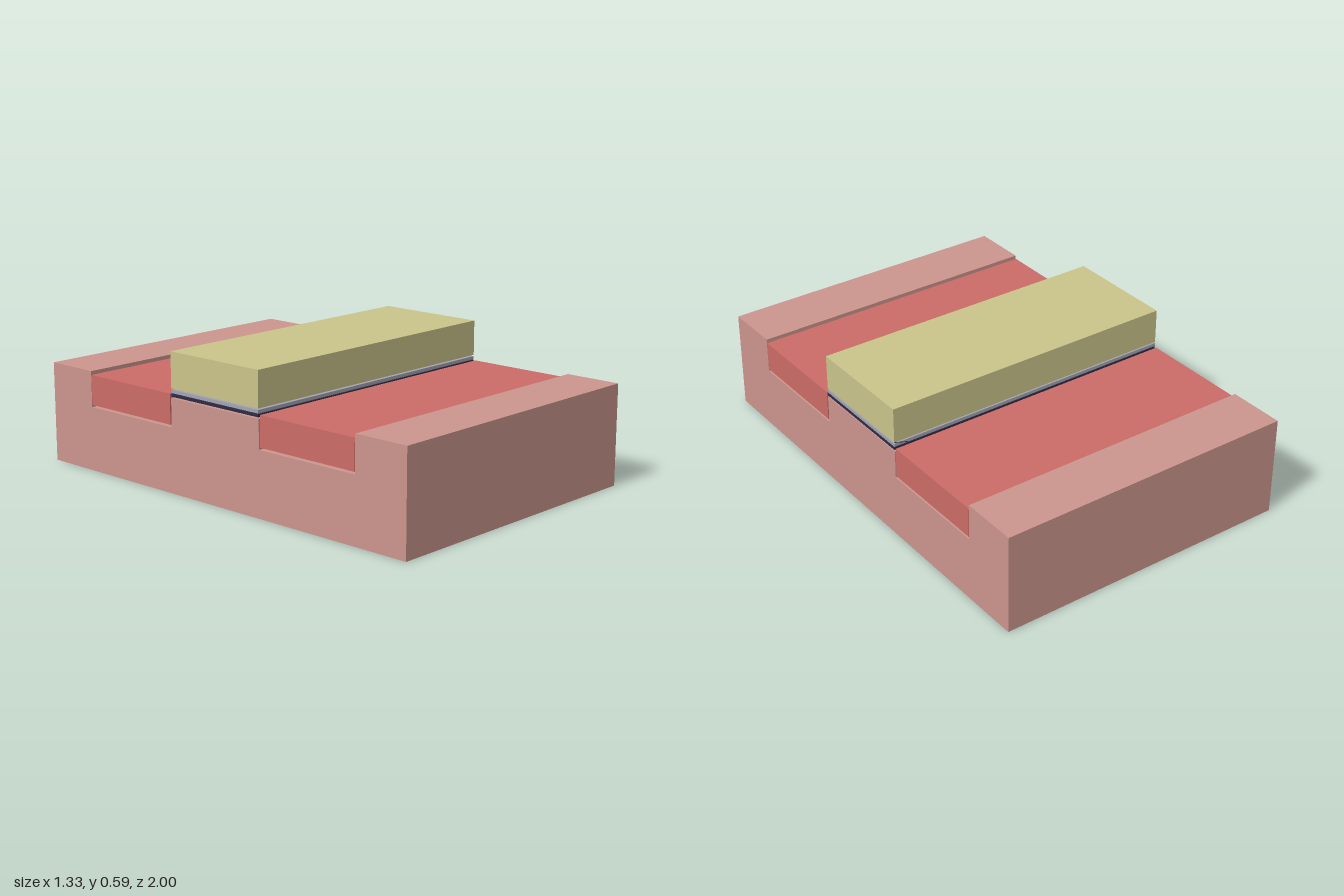
import * as THREE from 'three';

const WIDTH = 1.325;

const paint = (name, color) => {
  const m = new THREE.MeshStandardMaterial({ color });
  m.name = name;
  return m;
};

export function createModel() {
  const pink = paint('dusty pink', 0xcb958d);
  const red = paint('soft red', 0xcb6c67);
  const khaki = paint('khaki', 0xcac48a);
  const grey = paint('pale slate', 0xa3a4b0);
  const navy = paint('dark navy', 0x2e2b45);

  const model = new THREE.Group();
  model.name = 'layeredBlock';

  const add = (name, geometry, material) => {
    const mesh = new THREE.Mesh(geometry, material);
    mesh.name = name;
    model.add(mesh);
    return mesh;
  };

  // A bar running the full width, given by its extents in y and z
  const bar = (name, y0, y1, z0, z1, material) => {
    const mesh = add(name, new THREE.BoxGeometry(WIDTH, y1 - y0, z1 - z0), material);
    mesh.position.set(0, (y0 + y1) / 2, (z0 + z1) / 2);
  };

  // Base with two channels either side of a raised middle
  const half = [[0.25, 0.402], [0.25, 0.279], [0.75, 0.279], [0.75, 0.435], [1, 0.435], [1, 0]];
  const mirrored = half.map(([z, y]) => [-z, y]).reverse();
  const outline = new THREE.Shape([...mirrored, ...half].map(([z, y]) => new THREE.Vector2(z, y)));
  const baseGeometry = new THREE.ExtrudeGeometry(outline, { depth: WIDTH, bevelEnabled: false });
  baseGeometry.translate(0, 0, -WIDTH / 2);
  baseGeometry.rotateY(-Math.PI / 2);
  add('base', baseGeometry, pink);

  // Inlays sitting loosely in the channels
  bar('frontInlay', 0.289, 0.419, 0.257, 0.748, red);
  bar('backInlay', 0.289, 0.419, -0.748, -0.257, red);

  // Thin layers and the top block over the raised middle
  bar('darkLayer', 0.408, 0.42, -0.248, 0.248, navy);
  bar('paleLayer', 0.423, 0.437, -0.248, 0.248, grey);
  bar('topBlock', 0.443, 0.595, -0.248, 0.248, khaki);

  // Fine wire rising backwards from the left end
  const start = new THREE.Vector3(0.66, 0.442, -0.247);
  const end = new THREE.Vector3(0.66, 0.498, -0.342);
  add('wire', new THREE.TubeGeometry(new THREE.LineCurve3(start, end), 1, 0.0015, 6), navy);

  return model;
}
